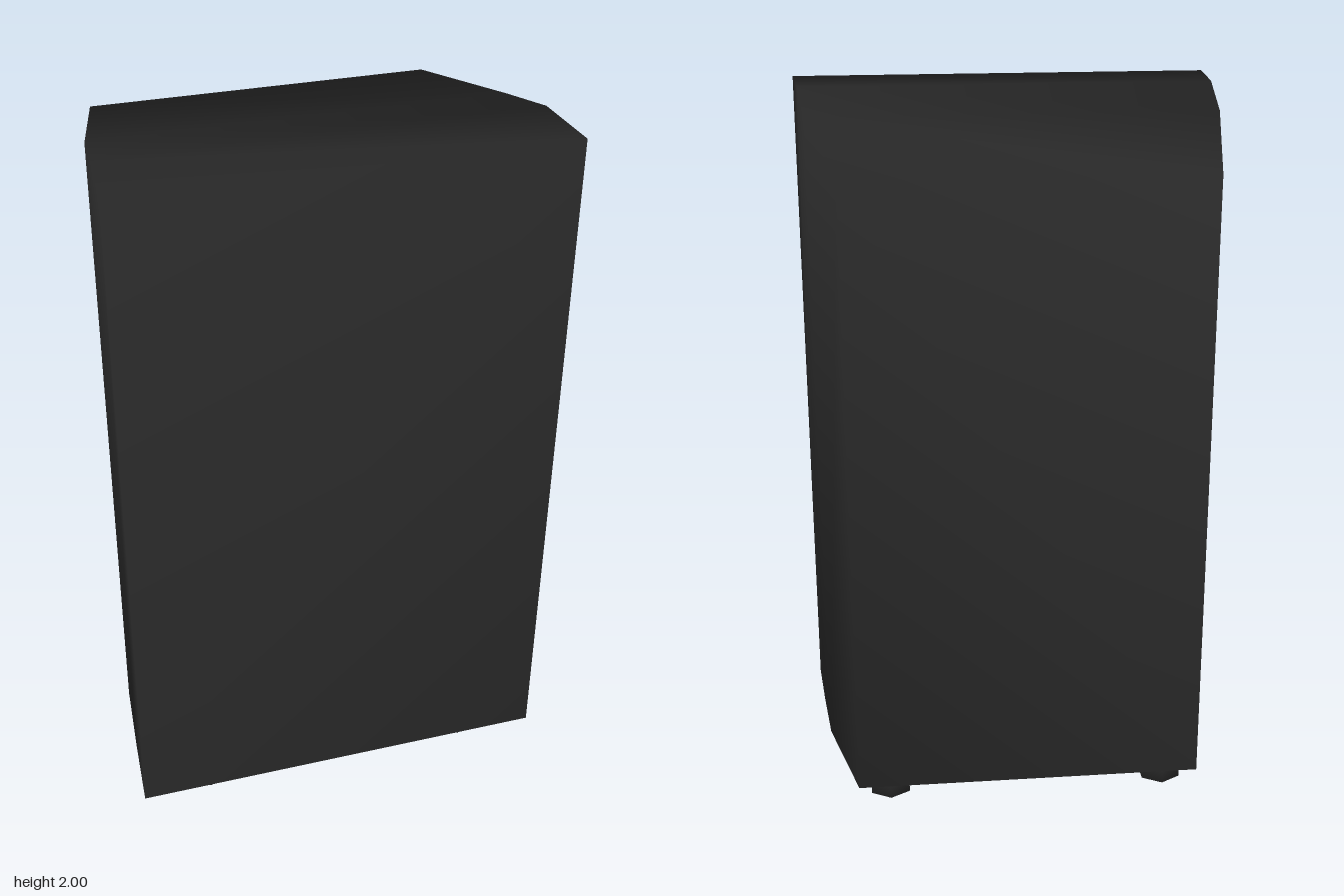
import * as THREE from 'three';
import { mergeVertices } from 'three/addons/utils/BufferGeometryUtils.js';

// Four-cornered sections from front to back: [z, half width, bottom, top]
const SECTIONS = [
  [0.43, 0.605, 0.045, 2.0],
  [0.215, 0.588, 0.055, 2.0],
  [0.0, 0.568, 0.065, 1.95],
  [-0.43, 0.485, 0.13, 1.86],
];

// Tapered closed shell with normals shared across all edges
function cabinetGeometry() {
  const positions = [];
  const index = [];
  for (const [z, w, bottom, top] of SECTIONS) {
    positions.push(-w, bottom, z, w, bottom, z, w, top, z, -w, top, z);
  }
  for (let s = 0; s < SECTIONS.length - 1; s++) {
    for (let i = 0; i < 4; i++) {
      const a = s * 4 + i;
      const b = s * 4 + ((i + 1) % 4);
      index.push(a, a + 4, b + 4, a, b + 4, b);
    }
  }
  const e = (SECTIONS.length - 1) * 4;
  index.push(0, 1, 2, 0, 2, 3); // front panel
  index.push(e, e + 2, e + 1, e, e + 3, e + 2); // back panel
  const geometry = new THREE.BufferGeometry();
  geometry.setAttribute('position', new THREE.Float32BufferAttribute(positions, 3));
  geometry.setIndex(index);
  geometry.computeVertexNormals();
  return geometry;
}

// Six-sided foot with softened edges
function footGeometry() {
  let geometry = new THREE.CylinderGeometry(0.063, 0.063, 0.08, 6);
  geometry.deleteAttribute('normal');
  geometry.deleteAttribute('uv');
  geometry = mergeVertices(geometry, 1e-4);
  geometry.computeVertexNormals();
  return geometry;
}

export function createModel() {
  const group = new THREE.Group();
  const black = new THREE.MeshStandardMaterial({ color: 0x2b2b2b });
  black.name = 'matte black';

  const cabinet = new THREE.Mesh(cabinetGeometry(), black);
  cabinet.name = 'cabinet';
  group.add(cabinet);

  // Feet: the back pair sits higher, under the rising base
  const foot = footGeometry();
  for (const [end, z, base] of [['Front', 0.328, 0], ['Back', -0.325, 0.065]]) {
    for (const [side, sign] of [['left', 1], ['right', -1]]) {
      const mesh = new THREE.Mesh(foot, black);
      mesh.name = `${side}${end}Foot`;
      mesh.position.set(sign * 0.395, base + 0.04, z);
      group.add(mesh);
    }
  }
  return group;
}
